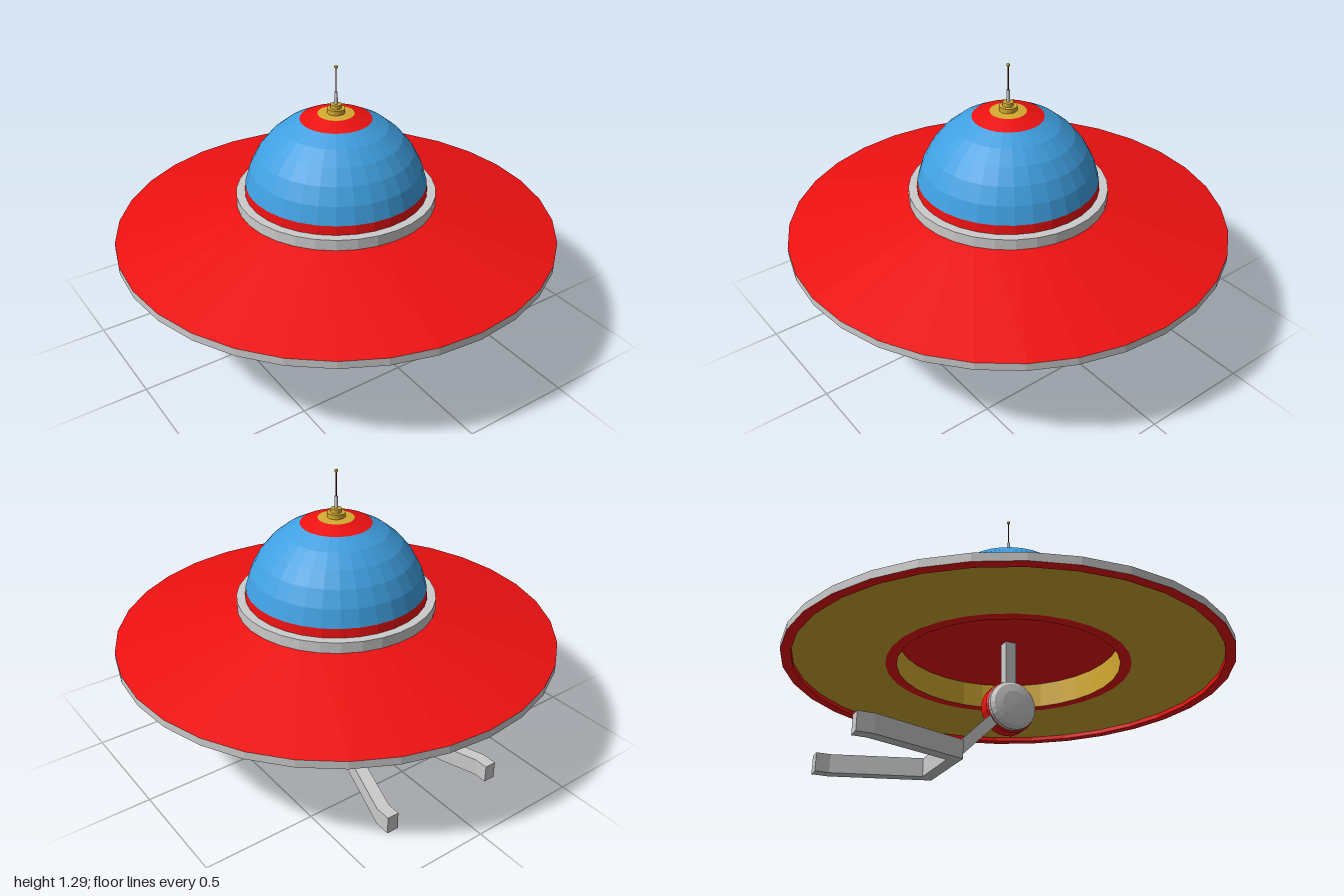
import * as THREE from 'three';

const material = (color) => new THREE.MeshStandardMaterial({ color, flatShading: true });

export function createModel() {
  const group = new THREE.Group();
  const red = material(0xee1111);
  const blue = material(0x3f9fe0);
  const gold = material(0xd4aa30);
  const grey = material(0xcccccc);
  const darkRed = material(0x7a1010);

  function add(name, geometry, mat, parent = group) {
    const mesh = new THREE.Mesh(geometry, mat);
    mesh.name = name;
    parent.add(mesh);
    return mesh;
  }

  // Turned surface from [radius, height] pairs
  const turned = (points, sides = 32) =>
    new THREE.LatheGeometry(points.map(([r, y]) => new THREE.Vector2(r, y)), sides);

  // Saucer: rim, sloping top, collar
  add('rim', turned([[1, 0.49], [1, 0.525]]), grey);
  add('saucerTop', turned([[1, 0.525], [0.45, 0.65]]), red);
  add('collar', turned([[0.45, 0.65], [0.45, 0.7], [0.38, 0.7]]), grey);

  // Underside with recessed bay
  add('bayCeiling', turned([[0, 0.63], [0.5, 0.63]]), red);
  add('bayWall', turned([[0.5, 0.63], [0.5, 0.51]]), gold);
  add('bayEdge', turned([[0.5, 0.51], [0.55, 0.51]]), red);
  add('undersidePanel', turned([[0.55, 0.51], [0.955, 0.51]]), gold);
  add('rimLip', turned([[0.955, 0.51], [0.955, 0.49], [1, 0.49]]), red);

  // Dome in eight latitude rows, split into coloured bands
  const domeBand = (from, to) => {
    const points = [];
    for (let i = to; i >= from; i--) {
      const a = (i / 8) * Math.PI / 2;
      points.push([0.415 * Math.sin(a), 0.66 + 0.415 * Math.cos(a)]);
    }
    return turned(points);
  };
  add('domeBase', domeBand(7, 8), red);
  add('domeGlass', domeBand(2, 7), blue);
  add('domeCapRing', domeBand(1, 2), red);
  add('domeCap', domeBand(0, 1), gold);

  // Antenna
  const antenna = new THREE.Group();
  antenna.name = 'antenna';
  group.add(antenna);
  add('antennaBase', turned([[0.04, 1.06], [0.04, 1.092], [0.024, 1.092], [0.024, 1.11], [0, 1.11]], 16), gold, antenna);
  add('antennaSleeve', turned([[0.008, 1.11], [0.007, 1.165], [0, 1.165]], 12), grey, antenna);
  add('antennaRod', turned([[0.003, 1.16], [0.003, 1.278]], 8), darkRed, antenna);
  add('antennaTip', new THREE.SphereGeometry(0.008, 10, 8), gold, antenna).position.y = 1.279;

  // Hanging arm: post, joint and slanted link
  const arm = new THREE.Group();
  arm.name = 'grabArm';
  group.add(arm);
  add('armPost', new THREE.BoxGeometry(0.05, 0.25, 0.05), grey, arm).position.y = 0.505;
  const joint = add('armJoint', turned([
    [0, -0.05], [0.06, -0.048], [0.098, -0.04], [0.117, -0.02], [0.117, 0.033],
    [0.105, 0.052], [0.06, 0.063], [0, 0.065]], 24), red, arm);
  const jointCap = add('armJointCap', turned([
    [0, -0.07], [0.06, -0.068], [0.095, -0.06], [0.11, -0.045], [0.11, -0.02]], 24), grey, arm);
  for (const part of [joint, jointCap]) {
    part.rotation.z = -Math.PI / 2;
    part.position.y = 0.318;
  }
  const link = add('armLink', new THREE.BoxGeometry(0.05, 0.05, 0.41), grey, arm);
  link.position.set(0, 0.175, -0.155);
  link.rotation.x = -Math.PI / 4;

  // Forked claw, flat outline mirrored about the middle
  const half = [[0.17, 0.285], [0.305, 0.7], [0.305, 0.77], [0.25, 0.77], [0.25, 0.71], [0.13, 0.34]];
  const outline = [...half, ...half.map(([x, d]) => [-x, d]).reverse()];
  const claw = new THREE.ExtrudeGeometry(
    new THREE.Shape(outline.map(([x, d]) => new THREE.Vector2(x, d))),
    { depth: 0.08, bevelEnabled: false });
  claw.rotateX(-Math.PI / 2);
  add('claw', claw, grey, arm);

  // Recess surfaces stay visible from every direction
  for (const mat of [red, gold, grey]) mat.side = THREE.DoubleSide;
  return group;
}
